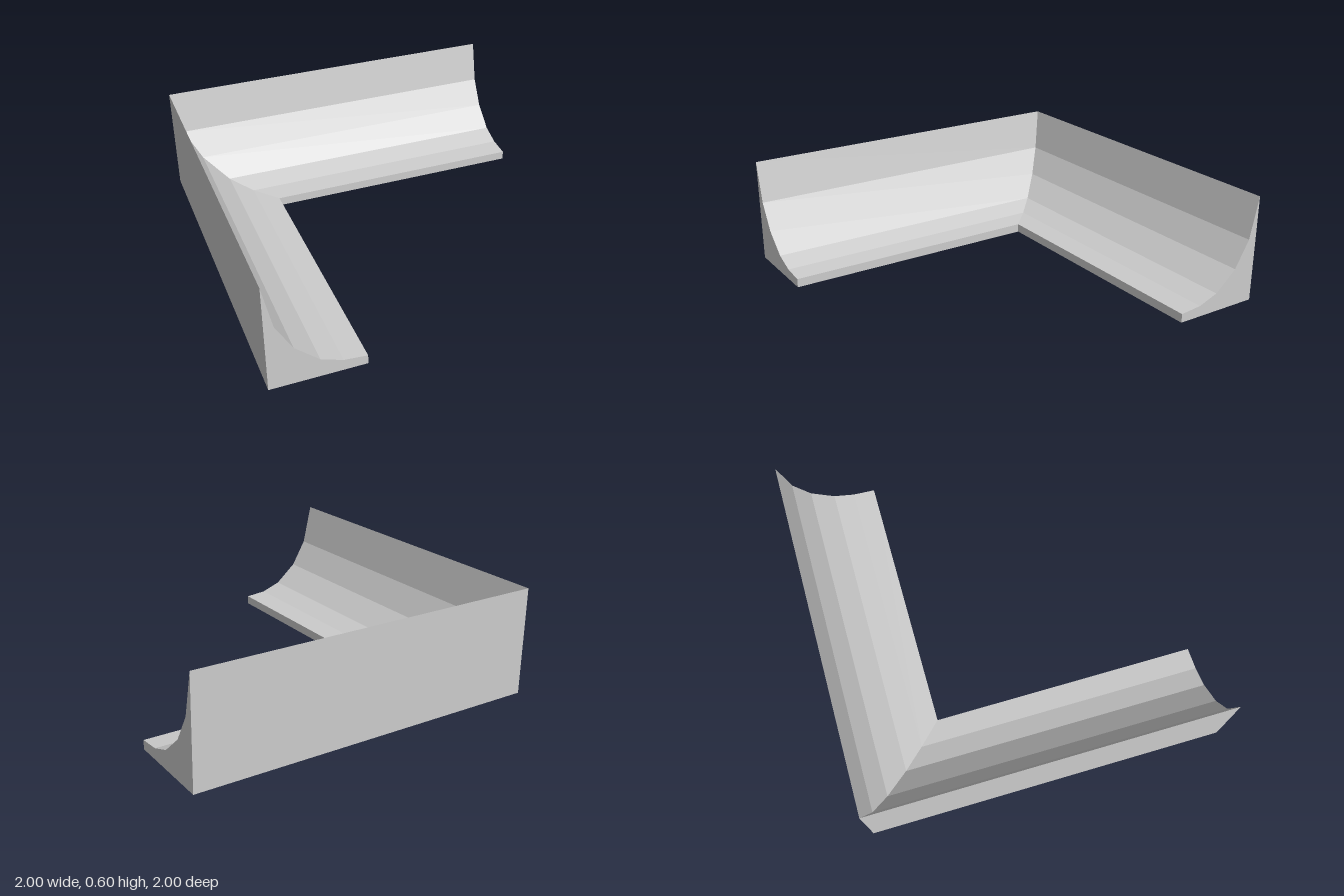
import * as THREE from 'three';

// Cove cross-section: [distance in from the outer wall, height]
const PROFILE = [
  [0, 0], [0, 0.6], [0.05, 0.365], [0.135, 0.215],
  [0.26, 0.105], [0.375, 0.062], [0.5, 0.05], [0.5, 0],
];

// Where the section sits at the front end, the mitred corner and the side end
const STATIONS = [
  ([d, y]) => [-1 + d, y, 1],
  ([d, y]) => [-1 + d, y, -1 + d],
  ([d, y]) => [1, y, -1 + d],
];

function mitredCove() {
  const positions = [];
  const rings = STATIONS.map((place) => PROFILE.map(place));
  const triangle = (a, b, c) => positions.push(...a, ...b, ...c);
  const n = PROFILE.length;

  // Both wings, swept from station to station
  for (let s = 0; s < rings.length - 1; s++) {
    for (let i = 0; i < n; i++) {
      const j = (i + 1) % n;
      triangle(rings[s][i], rings[s][j], rings[s + 1][j]);
      triangle(rings[s][i], rings[s + 1][j], rings[s + 1][i]);
    }
  }

  // End caps, fanned from the outer bottom corner
  const first = rings[0];
  const last = rings[rings.length - 1];
  for (let i = 1; i < n - 1; i++) {
    triangle(first[0], first[i + 1], first[i]);
    triangle(last[0], last[i], last[i + 1]);
  }

  const geometry = new THREE.BufferGeometry();
  geometry.setAttribute('position', new THREE.Float32BufferAttribute(positions, 3));
  geometry.computeVertexNormals();
  return geometry;
}

export function createModel() {
  const group = new THREE.Group();
  group.name = 'cornerMoulding';
  const material = new THREE.MeshStandardMaterial({ color: 0xcccccc, flatShading: true });
  const cove = new THREE.Mesh(mitredCove(), material);
  cove.name = 'mitredCove';
  group.add(cove);
  return group;
}
